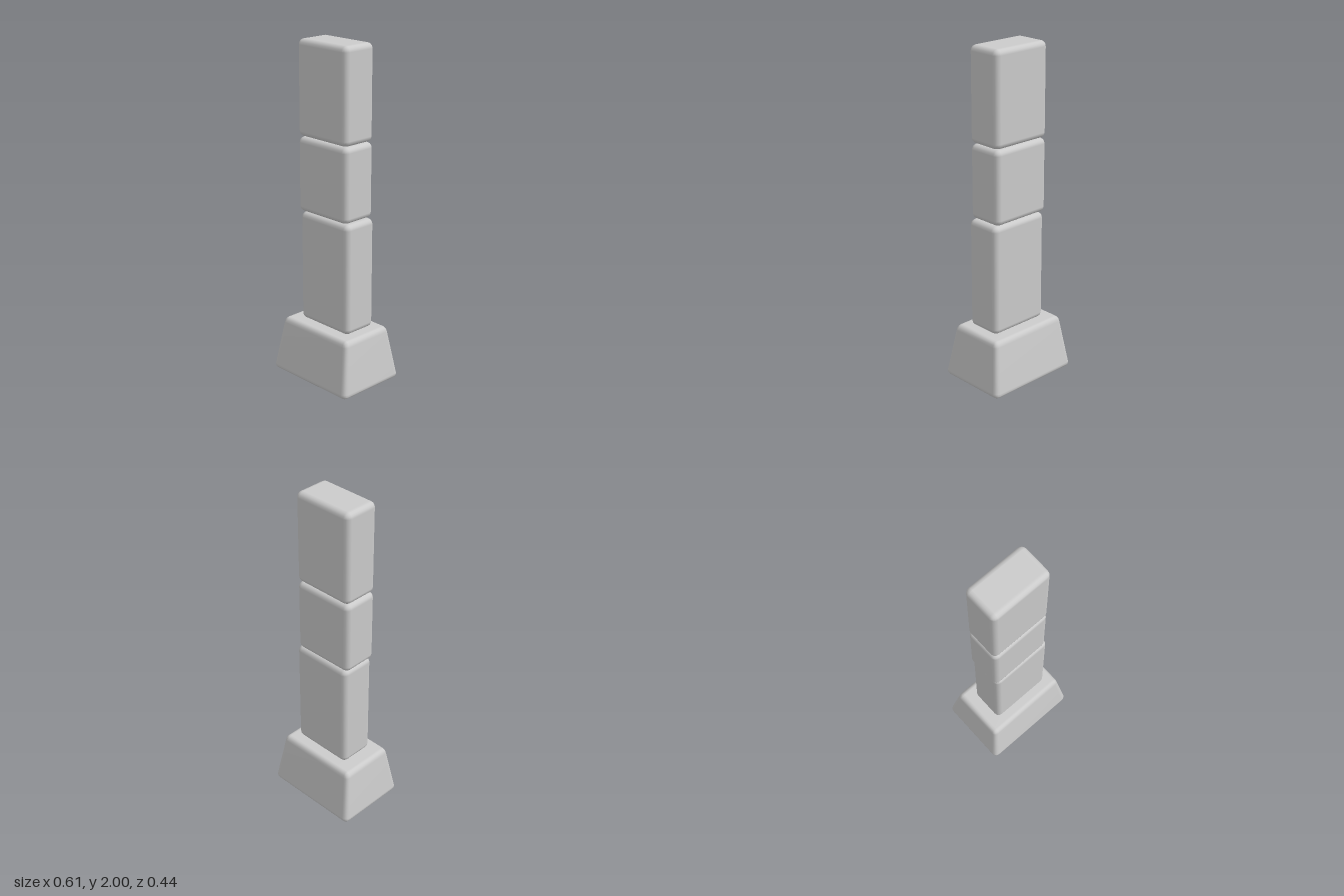
import * as THREE from 'three';
import { RoundedBoxGeometry } from 'three/addons/geometries/RoundedBoxGeometry.js';
import { mergeVertices } from 'three/addons/utils/BufferGeometryUtils.js';

const material = new THREE.MeshStandardMaterial({ color: 0xcccccc });
const BEVEL = 0.033;

// Bevelled block standing between two heights
function block(name, width, depth, y0, y1, x = 0, turn = 0) {
  const mesh = new THREE.Mesh(new RoundedBoxGeometry(width, y1 - y0, depth, 2, BEVEL), material);
  mesh.name = name;
  mesh.position.set(x, (y0 + y1) / 2, 0);
  mesh.rotation.y = turn;
  return mesh;
}

// Narrow a block towards its top, then smooth its normals again
function taper(mesh, height, topX, topZ) {
  let g = mesh.geometry;
  const p = g.attributes.position;
  for (let i = 0; i < p.count; i++) {
    const t = (p.getY(i) + height / 2 - BEVEL) / (height - 2 * BEVEL);
    p.setX(i, p.getX(i) * (1 + (topX - 1) * t));
    p.setZ(i, p.getZ(i) * (1 + (topZ - 1) * t));
  }
  g.deleteAttribute('normal');
  g.deleteAttribute('uv');
  g = mergeVertices(g, 1e-4);
  g.computeVertexNormals();
  mesh.geometry = g;
  return mesh;
}

export function createModel() {
  const group = new THREE.Group();
  group.name = 'stonePillar';

  // Sloping plinth
  group.add(taper(block('base', 0.612, 0.445, 0.005, 0.335), 0.33, 0.873, 0.795));

  // Stacked stones, slightly out of line
  group.add(block('lowerStone', 0.387, 0.22, 0.336, 1.003, 0.013));
  group.add(block('middleStone', 0.386, 0.222, 1.004, 1.446, -0.001, 0.01));
  group.add(block('upperStone', 0.386, 0.222, 1.448, 2, -0.001));

  // Stand the plinth on the ground
  group.getObjectByName('base').position.y -= 0.003;
  group.getObjectByName('base').scale.y = 1.012;
  return group;
}
